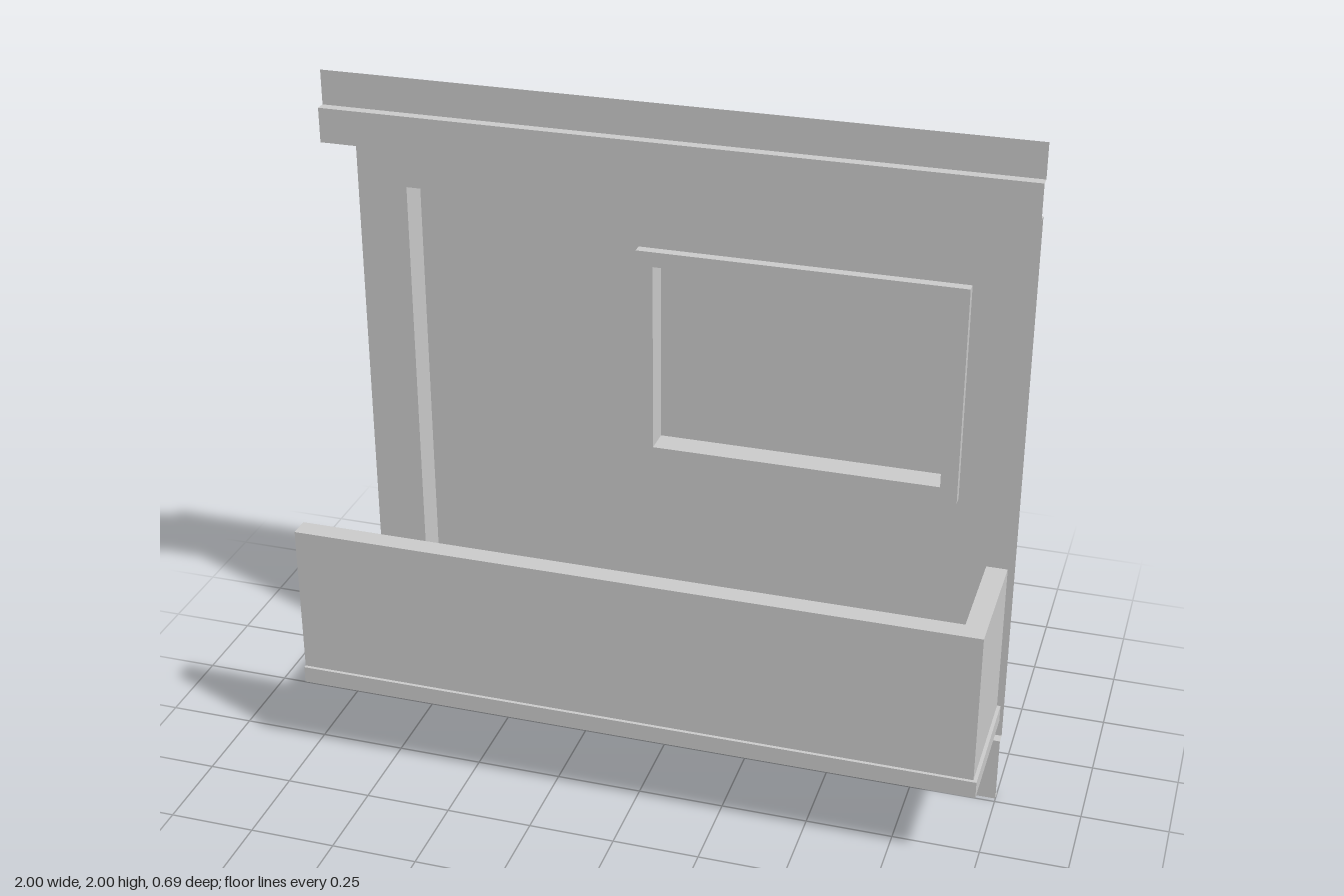
import * as THREE from 'three';

const material = new THREE.MeshStandardMaterial({ color: 0xcccccc, flatShading: true, side: THREE.DoubleSide });

// Depth planes, from front to back
const BAND = -0.015, FACE = -0.045, FRAME = -0.215, WALL = -0.245, GLASS = -0.295, DOOR = -0.345;

// Sweeps a polyline of [x, y, z] points along a vector into a thin sheet
function ribbon(points, [vx, vy, vz]) {
  const pos = [];
  for (let i = 0; i < points.length - 1; i++) {
    const a = points[i], b = points[i + 1];
    const a2 = [a[0] + vx, a[1] + vy, a[2] + vz];
    const b2 = [b[0] + vx, b[1] + vy, b[2] + vz];
    pos.push(...a, ...b, ...b2, ...a, ...b2, ...a2);
  }
  const g = new THREE.BufferGeometry();
  g.setAttribute('position', new THREE.Float32BufferAttribute(pos, 3));
  g.computeVertexNormals();
  return g;
}

// Sweeps a [y, z] profile sideways from x0 to x1
const sweepX = (profile, x0, x1) => ribbon(profile.map(([y, z]) => [x0, y, z]), [x1 - x0, 0, 0]);

// Four sides of a rectangular opening, from depth z0 to z1
const reveal = ([x0, x1, y0, y1], z0, z1) =>
  ribbon([[x0, y1, z0], [x0, y0, z0], [x1, y0, z0], [x1, y1, z0], [x0, y1, z0]], [0, 0, z1 - z0]);

const corners = ([x0, x1, y0, y1]) =>
  [[x0, y0], [x1, y0], [x1, y1], [x0, y1]].map(([x, y]) => new THREE.Vector2(x, y));

// Flat upright panel at depth z, with an optional rectangular hole
function panel(rect, z, hole) {
  const shape = new THREE.Shape(corners(rect));
  if (hole) shape.holes.push(new THREE.Path(corners(hole)));
  return new THREE.ShapeGeometry(shape).translate(0, 0, z);
}

export function createModel() {
  const model = new THREE.Group();
  model.name = 'balconyFacade';
  const add = (parent, name, geometry) => {
    const mesh = new THREE.Mesh(geometry, material);
    mesh.name = name;
    parent.add(mesh);
  };
  const section = (name) => {
    const g = new THREE.Group();
    g.name = name;
    model.add(g);
    return g;
  };

  // Outer facade: stepped bands above and below, pier at the side
  const facade = section('facade');
  add(facade, 'upperBand', sweepX([[2, FACE], [1.9, FACE], [1.9, BAND], [1.8, BAND], [1.8, FACE]], -1, 1));
  add(facade, 'lowerBand', sweepX([[0.3, FACE], [0.2, FACE], [0.2, BAND], [0, BAND], [0, FACE]], -1, 1));
  add(facade, 'sidePier', panel([0.9, 1, 0.3, 1.8], FACE));

  // Recessed loggia: ceiling, floor, side wall, back wall
  const door = [-0.85, -0.25, 0.3, 1.6];
  const windowOuter = [-0.15, 0.8, 0.84, 1.5];
  const windowInner = [-0.1, 0.75, 0.885, 1.455];
  const loggia = section('loggia');
  add(loggia, 'ceiling', sweepX([[1.8, FACE], [1.8, WALL]], -1, 0.9));
  add(loggia, 'floor', sweepX([[0.3, WALL], [0.3, FACE]], -1, 0.9));
  add(loggia, 'sideWall', ribbon([[0.9, 0.3, FACE], [0.9, 1.8, FACE]], [0, 0, WALL - FACE]));
  add(loggia, 'wallBesideDoor', panel([-1, door[0], 0.3, 1.8], WALL));
  add(loggia, 'wallAboveDoor', panel([door[0], door[1], door[3], 1.8], WALL));
  add(loggia, 'wallAroundWindow', panel([door[1], 0.9, 0.3, 1.8], WALL, windowOuter));

  // Door niche
  const doorway = section('doorway');
  add(doorway, 'doorReveal', reveal(door, WALL, DOOR));
  add(doorway, 'doorPanel', panel(door, DOOR));

  // Window: raised frame with a sunken pane
  const win = section('window');
  add(win, 'frameEdge', reveal(windowOuter, WALL, FRAME));
  add(win, 'frameFront', panel(windowOuter, FRAME, windowInner));
  add(win, 'windowReveal', reveal(windowInner, FRAME, GLASS));
  add(win, 'windowPane', panel(windowInner, GLASS));

  // Balcony: floor slab and hollow L-shaped parapet, open at the right end
  const balcony = section('balcony');
  const slab = new THREE.BoxGeometry(1.99, 0.05, 0.39);
  add(balcony, 'slab', slab.translate(-0.005, 0.275, 0.15));
  add(balcony, 'parapetOutside', ribbon([[-1, 0.3, 0.335], [0.98, 0.3, 0.335], [0.98, 0.3, FACE]], [0, 0.45, 0]));
  add(balcony, 'parapetInside', ribbon([[0.92, 0.3, FACE], [0.92, 0.3, 0.275], [-1, 0.3, 0.275]], [0, 0.45, 0]));
  add(balcony, 'parapetFrontTop', sweepX([[0.75, 0.275], [0.75, 0.335]], -1, 0.98));
  add(balcony, 'parapetSideTop', sweepX([[0.75, FACE], [0.75, 0.275]], 0.92, 0.98));

  return model;
}
